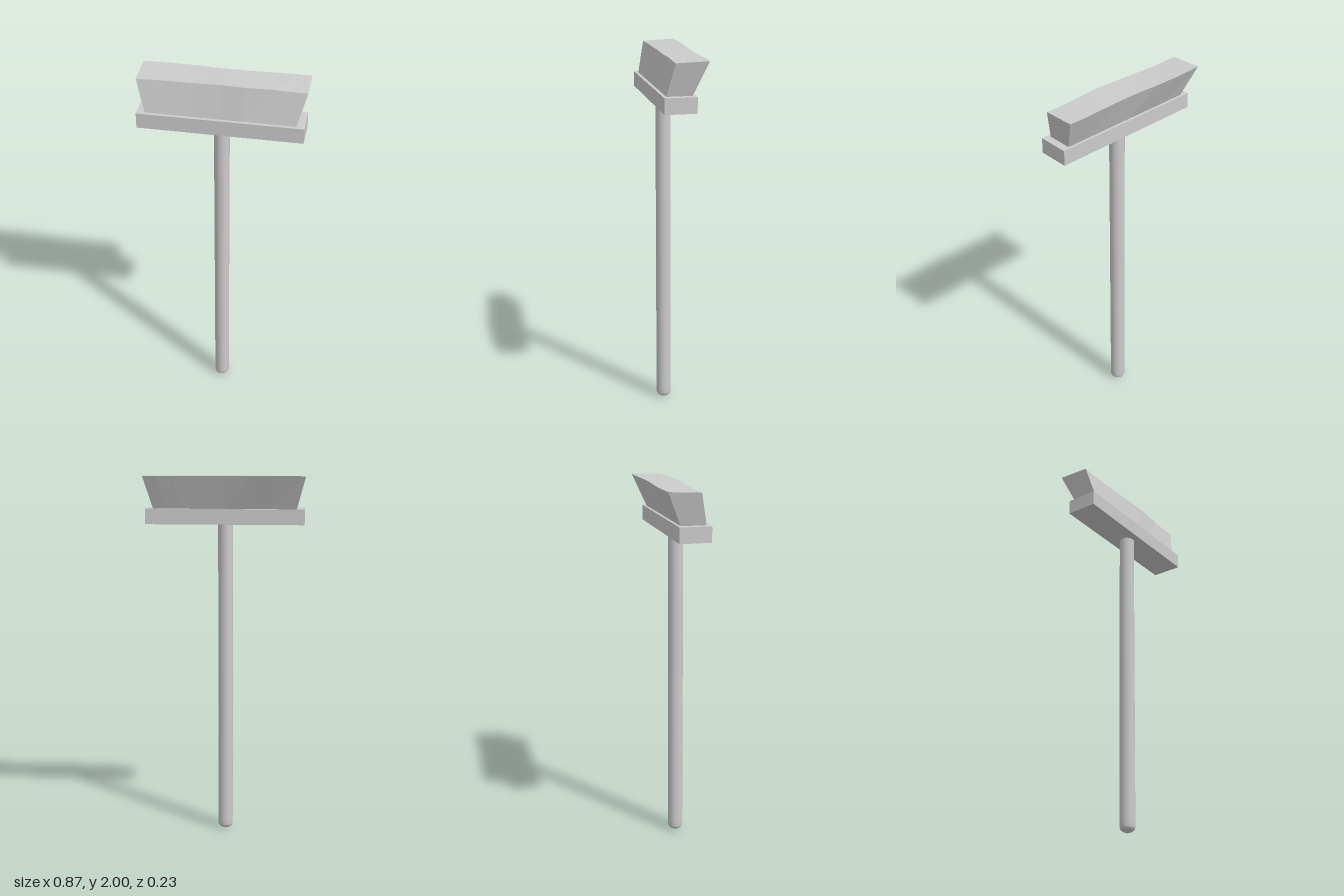
import * as THREE from 'three';

export function createModel() {
  const group = new THREE.Group();
  group.name = 'broom';
  const smooth = new THREE.MeshStandardMaterial({ color: 0xcccccc });
  const flat = new THREE.MeshStandardMaterial({ color: 0xcccccc, flatShading: true });
  const add = (name, geometry, material) => {
    const mesh = new THREE.Mesh(geometry, material);
    mesh.name = name;
    group.add(mesh);
    return mesh;
  };

  // Round stick with a shallow domed end at the floor
  const profile = [
    [0, 0], [0.014, 0.002], [0.027, 0.008], [0.036, 0.016], [0.041, 0.027],
    [0.041, 0.06], [0.041, 1.75],
  ].map(([r, y]) => new THREE.Vector2(r, y));
  add('handle', new THREE.LatheGeometry(profile, 20), smooth).position.z = 0.035;

  // Wooden block that holds the bristles
  add('headBlock', new THREE.BoxGeometry(0.856, 0.083, 0.168), flat).position.set(0, 1.782, 0.031);

  // Bristles: box flared towards the top, swept backwards, with wavy upper edges
  const columns = [-1, -0.66, -0.33, 0, 0.3, 0.62, 0.82, 1];
  const frontZ = [0.06, 0.056, 0.06, 0.062, 0.067, 0.058, 0.059, 0.06];
  const backZ = [-0.112, -0.118, -0.115, -0.107, -0.107, -0.112, -0.115, -0.112];
  const frontY = [1.992, 1.993, 1.996, 2, 2, 1.998, 1.995, 1.995];
  const last = columns.length - 1;
  const bristles = new THREE.BoxGeometry(1, 1, 1, last, 1, 1);
  const pos = bristles.attributes.position;
  for (let i = 0; i < pos.count; i++) {
    const c = Math.round((pos.getX(i) + 0.5) * last);
    const top = pos.getY(i) > 0;
    const front = pos.getZ(i) > 0;
    if (top) pos.setXYZ(i, columns[c] * 0.433, front ? frontY[c] : 2, front ? frontZ[c] : backZ[c]);
    else pos.setXYZ(i, columns[c] * 0.386, 1.82, front ? 0.098 : -0.036);
  }
  bristles.computeVertexNormals();
  add('bristles', bristles, flat);

  return group;
}
